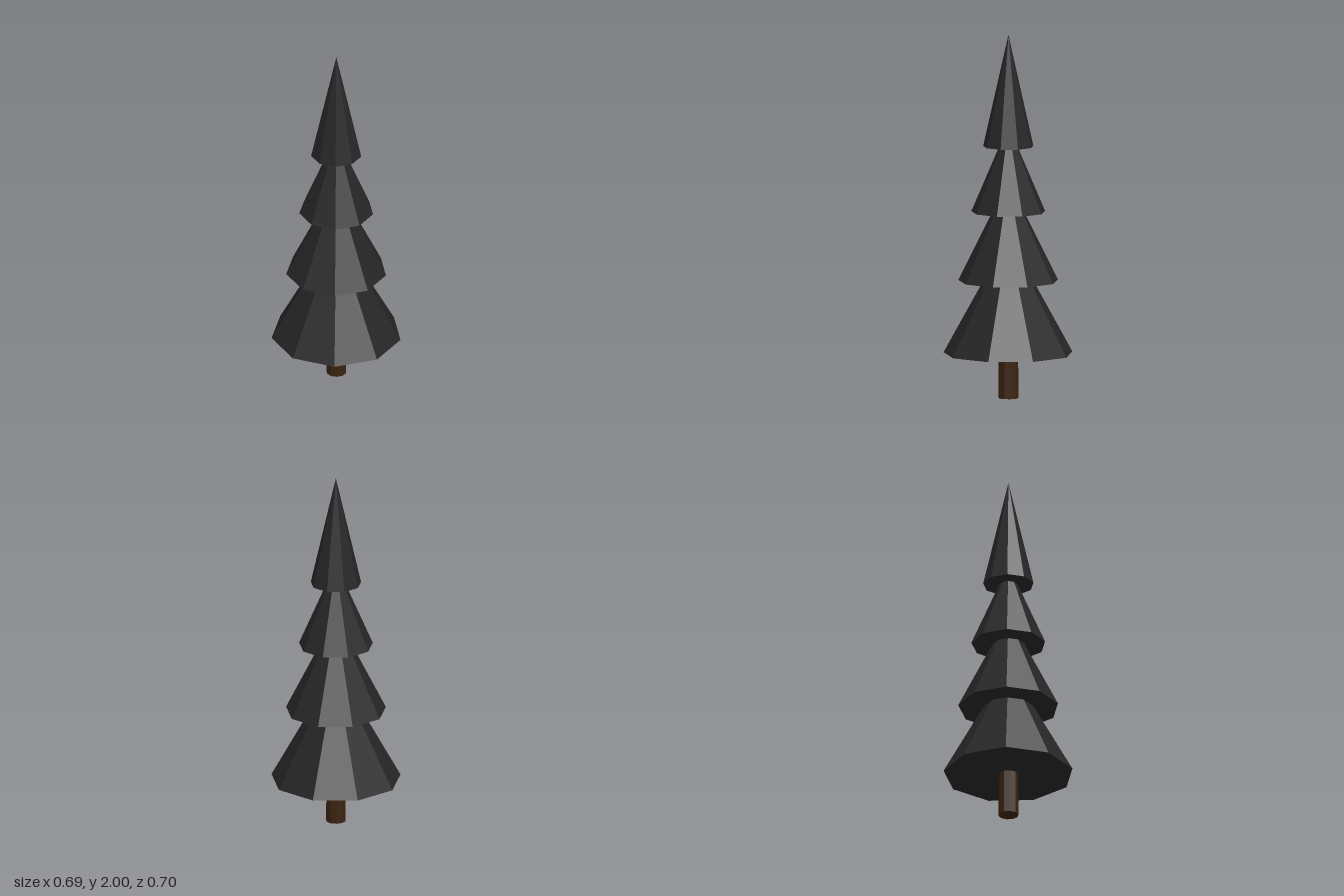
import * as THREE from 'three';

export function createModel() {
  const tree = new THREE.Group();
  tree.name = 'pineTree';

  const foliage = new THREE.MeshStandardMaterial({ color: 0x262626, flatShading: true });
  foliage.name = 'charcoal foliage';
  const bark = new THREE.MeshStandardMaterial({ color: 0x3a2310, flatShading: true });
  bark.name = 'brown bark';

  const axisX = -0.0105; // the nine-sided outline is off-centre by this much

  // A faceted, tapered section with one corner pointing to +x
  function section(name, y0, y1, bottom, top, sides, material) {
    const geometry = new THREE.CylinderGeometry(top, bottom, y1 - y0, sides, 1, false, Math.PI / 2);
    const mesh = new THREE.Mesh(geometry, material);
    mesh.name = name;
    mesh.position.set(axisX, (y0 + y1) / 2, 0);
    tree.add(mesh);
  }

  section('trunk', 0, 0.26, 0.055, 0.053, 10, bark);

  // Foliage tiers, lowest first: base height, top height, base radius, top radius
  const tiers = [
    [0.245, 0.645, 0.357, 0.137],
    [0.645, 1.025, 0.276, 0.087],
    [1.025, 1.385, 0.204, 0.05],
    [1.385, 2, 0.139, 0],
  ];
  tiers.forEach(([y0, y1, bottom, top], i) =>
    section(`foliageTier${i + 1}`, y0, y1, bottom, top, 9, foliage));

  return tree;
}
